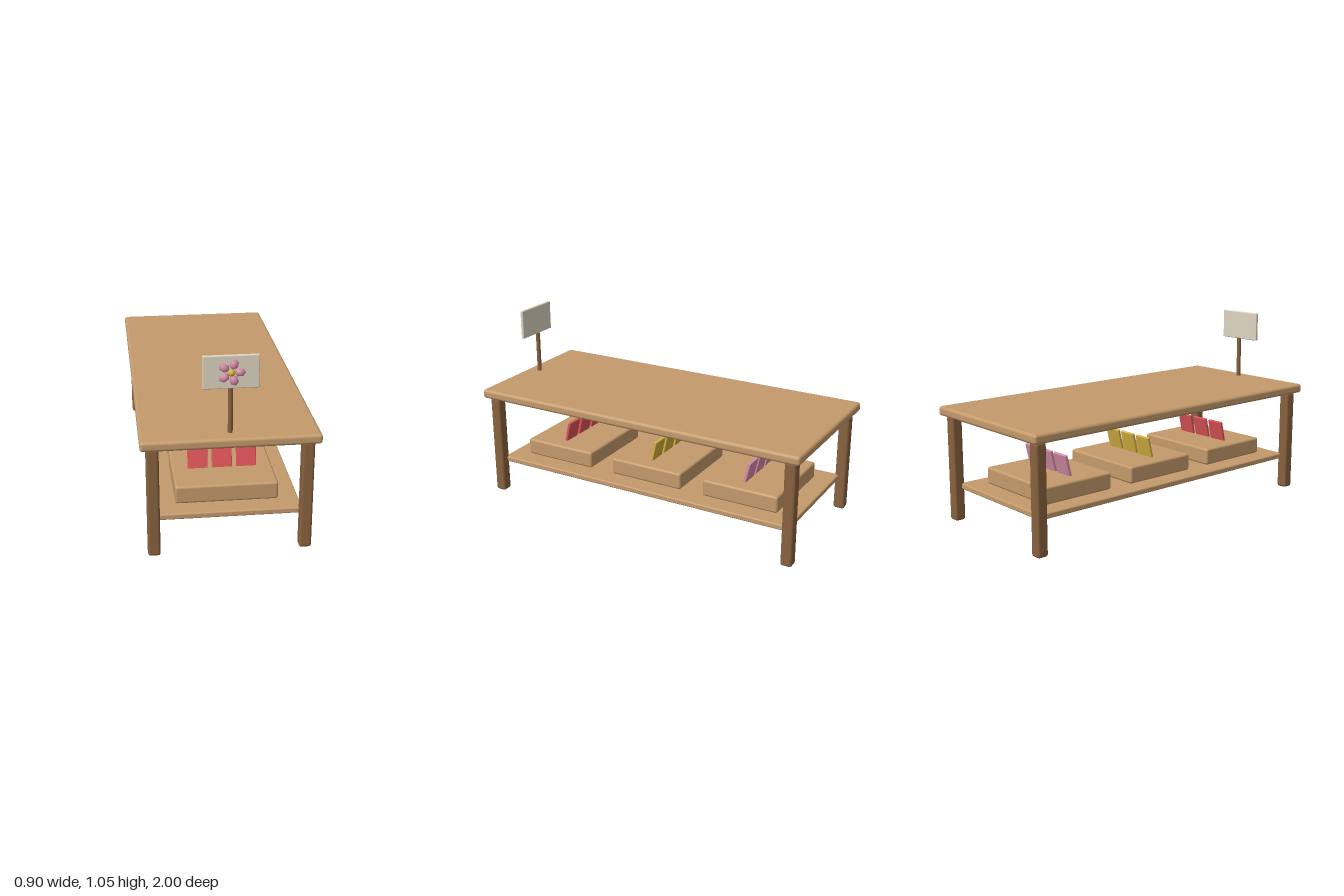
import * as THREE from 'three';
import { RoundedBoxGeometry } from 'three/addons/geometries/RoundedBoxGeometry.js';

function material(name, color) {
  const m = new THREE.MeshStandardMaterial({ color });
  m.name = name;
  return m;
}

export function createModel() {
  const group = new THREE.Group();
  const tan = material('light wood', 0xc49b6c);
  const brown = material('dark wood', 0x89623f);
  const red = material('red', 0xe05558);
  const yellow = material('yellow', 0xd6b440);
  const pink = material('pink', 0xd68ca8);
  const cream = material('cream board', 0xded6c2);

  function add(name, geometry, mat, x, y, z) {
    const mesh = new THREE.Mesh(geometry, mat);
    mesh.name = name;
    mesh.position.set(x, y, z);
    group.add(mesh);
    return mesh;
  }
  const box = (w, h, d, r) => new RoundedBoxGeometry(w, h, d, 2, r);

  // Table top, lower shelf and four legs
  add('tableTop', box(0.9, 0.053, 2, 0.017), tan, 0, 0.6215, 0);
  add('shelf', box(0.75, 0.032, 1.85, 0.008), tan, 0, 0.195, 0);
  const legGeometry = box(0.064, 0.595, 0.064, 0.014);
  for (const x of [-0.388, 0.388])
    for (const z of [-0.938, 0.938]) add('leg', legGeometry, brown, x, 0.2975, z);

  // Trays on the shelf, each with three leaning packets
  const trayGeometry = box(0.536, 0.097, 0.45, 0.013);
  const packetGeometry = box(0.107, 0.16, 0.017, 0.004);
  [[0.595, red], [0, yellow], [-0.59, pink]].forEach(([z, mat]) => {
    add('tray', trayGeometry, tan, 0, 0.2585, z);
    for (const x of [-0.13, 0, 0.13]) {
      add('packet', packetGeometry, mat, x, 0.346, z + 0.001).rotation.x = -0.23;
    }
  });

  // Sign on a post
  add('signPost', new THREE.CylinderGeometry(0.0125, 0.0125, 0.25, 8), brown, 0, 0.765, 0.918);
  add('signBoard', box(0.277, 0.17, 0.018, 0.005), cream, 0, 0.97, 0.927);

  // Flower with five petals around a round centre
  const petalGeometry = new THREE.SphereGeometry(1, 6, 4).rotateX(Math.PI / 2);
  petalGeometry.scale(0.028, 0.023, 0.02);
  for (let i = 0; i < 5; i++) {
    const a = (i * Math.PI * 2) / 5;
    const petal = add('petal', petalGeometry, pink, 0.043 * Math.cos(a), 0.97 + 0.043 * Math.sin(a), 0.942);
    petal.rotation.z = a;
  }
  const centre = add('flowerCentre', new THREE.SphereGeometry(0.019, 10, 6), yellow, 0, 0.97, 0.944);
  centre.rotation.x = Math.PI / 2;

  return group;
}
